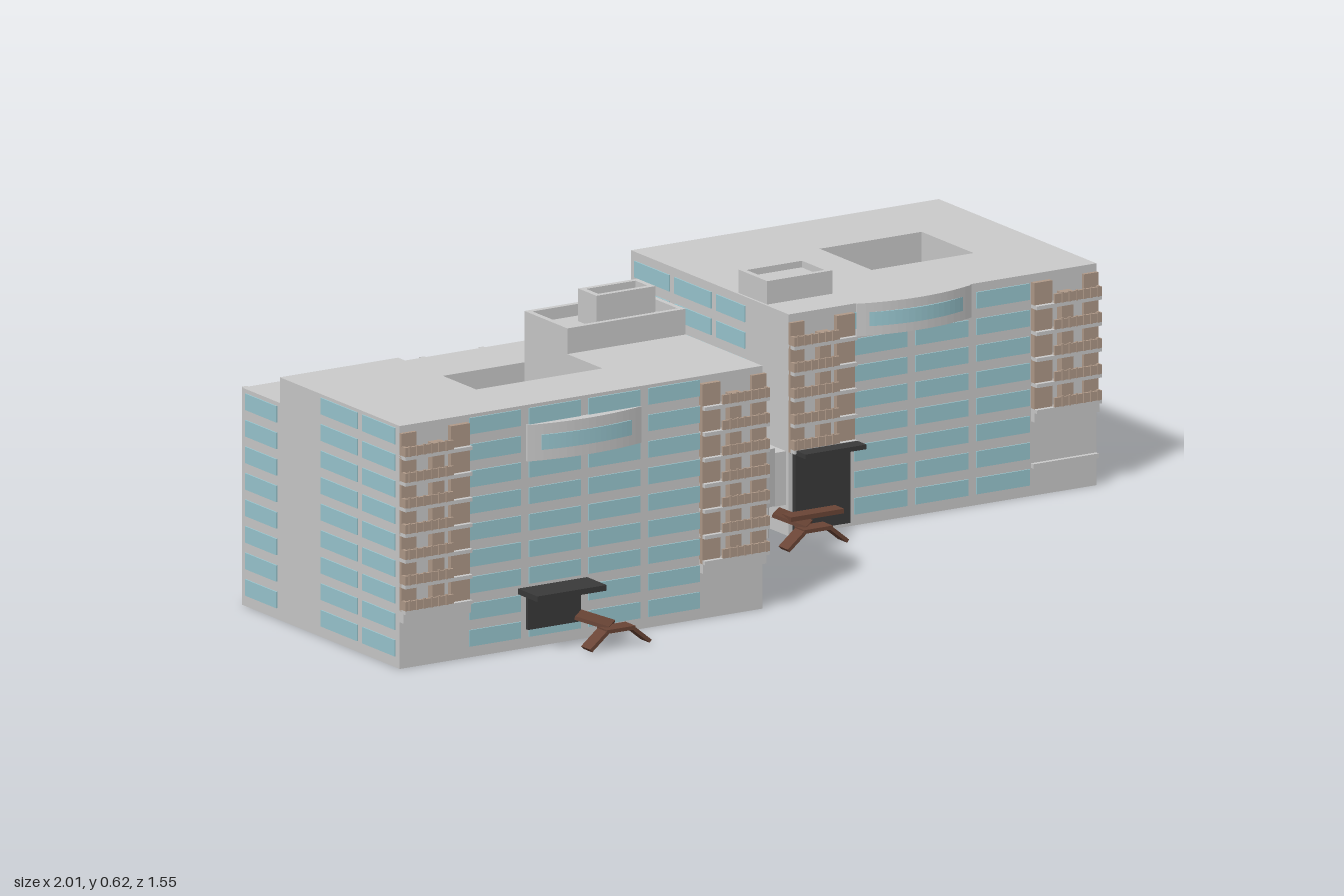
import * as THREE from 'three';
import { mergeGeometries } from 'three/addons/utils/BufferGeometryUtils.js';

const mat = (color) => new THREE.MeshStandardMaterial({ color, side: THREE.DoubleSide });
const GREY = mat(0xcccccc), GLASS = mat(0x9ac8d1), BROWN = mat(0xb09a89);
const DARK = mat(0x3a3a3a), STEP = mat(0x6b4536), SMOKE = mat(0x5c5c5c);

export function createModel() {
  const model = new THREE.Group();
  const add = (parent, name, geo, material) => {
    const m = new THREE.Mesh(geo, material);
    m.name = name;
    parent.add(m);
    return m;
  };
  const group = (name) => {
    const g = new THREE.Group();
    g.name = name;
    model.add(g);
    return g;
  };

  // Boxes given by their limits [x0, x1, y0, y1, z0, z1], joined into one mesh
  const boxes = (parent, name, material, list) => add(parent, name, mergeGeometries(list.map(([a, b, c, d, e, f]) =>
    new THREE.BoxGeometry(b - a, d - c, f - e).translate((a + b) / 2, (c + d) / 2, (e + f) / 2))), material);

  // Plan outline in (x, z) raised from y0 to y1, with optional holes
  const rect = (x0, x1, z0, z1) => [[x0, z1], [x1, z1], [x1, z0], [x0, z0]];
  const prism = (parent, name, outline, y0, y1, holes = [], material = GREY) => {
    const pts = (o) => o.map(([x, z]) => new THREE.Vector2(x, -z));
    const shape = new THREE.Shape(pts(outline));
    holes.forEach((h) => shape.holes.push(new THREE.Path(pts(h))));
    const geo = new THREE.ExtrudeGeometry(shape, { depth: y1 - y0, bevelEnabled: false });
    return add(parent, name, geo.rotateX(-Math.PI / 2).translate(0, y0, 0), material);
  };

  // Flat-roofed block with a raised rim
  const rimmedBlock = (parent, name, x0, x1, z0, z1, y0, y1, rim = 0.012, drop = 0.025) => {
    boxes(parent, name, GREY, [[x0, x1, y0, y1 - drop, z0, z1]]);
    prism(parent, name + 'Parapet', rect(x0, x1, z0, z1), y1 - drop, y1,
      [rect(x0 + rim, x1 - rim, z0 + rim, z1 - rim)]);
  };

  // Outline bowed toward +z
  const bowed = (x0, x1, zBack, zFront, sag) => {
    const pts = [[x1, zBack], [x0, zBack]];
    for (let i = 0; i <= 16; i++) {
      const t = i / 16;
      pts.push([x0 + (x1 - x0) * t, zFront + sag * 4 * t * (1 - t)]);
    }
    return pts;
  };

  // Window grid on a wall: axis is the wall normal, cols are spans along the wall
  const windows = (parent, name, axis, at, cols, rows, h = 0.035, material = GLASS) => {
    const list = [];
    for (const [a, b] of cols) for (const y of rows) {
      const c = y - h / 2, d = y + h / 2, p = at - 0.003, q = at + 0.003;
      list.push(axis === 'z' ? [a, b, c, d, p, q] : [p, q, c, d, a, b]);
    }
    return boxes(parent, name, material, list);
  };
  const floors = (n) => Array.from({ length: n }, (_, i) => 0.041 + i * 0.0568);
  const bays = (a, b, n, gap = 0.02) => Array.from({ length: n }, (_, i) => {
    const w = (b - a) / n;
    return [a + i * w + gap / 2, a + (i + 1) * w - gap / 2];
  });

  // Stack of corner balconies: slabs, slatted railings and screen columns
  const balconies = (parent, x0, x1, zWall, y0, y1, n, outer) => {
    const z1 = zWall + 0.022, pitch = (y1 - y0) / n, w = x1 - x0;
    const slabs = [], rails = [], X = (t) => (outer < 0 ? x0 + t * w : x1 - t * w);
    const span = (s, t) => [Math.min(X(s), X(t)), Math.max(X(s), X(t))];
    for (let i = 0; i < n; i++) {
      const y = y0 + i * pitch;
      slabs.push([x0, x1, y, y + 0.008, zWall, z1]);
      rails.push([...span(0.02, 0.72), y + 0.008, y + pitch * 0.5, z1 - 0.006, z1]);
      rails.push([...span(0, 0.04), y + 0.008, y + pitch * 0.5, zWall, z1]);
      for (let k = 0; k < 6; k++) {
        const [a] = span(0.06 + k * 0.11, 0.06 + k * 0.11);
        rails.push([a - 0.002, a + 0.002, y + 0.008, y + pitch * 0.55, z1 - 0.002, z1 + 0.003]);
      }
    }
    boxes(parent, 'balconySlabs', GREY, slabs);
    boxes(parent, 'balconyRailings', BROWN, rails);
    boxes(parent, 'balconyScreens', BROWN, [
      [...span(0.0, 0.22), y0, y1, zWall, zWall + 0.008],
      [...span(0.42, 0.6), y0, y1 - pitch * 0.5, zWall, z1 - 0.004],
      [...span(0.72, 1), y0, y1, zWall, zWall + 0.012],
    ]);
  };

  // Flight of steps between two points, as a sloping slab
  const flight = (parent, name, from, to, width) => {
    const a = new THREE.Vector3(...from), b = new THREE.Vector3(...to);
    const m = add(parent, name, new THREE.BoxGeometry(width, 0.008, a.distanceTo(b)), STEP);
    m.position.copy(a).add(b).multiplyScalar(0.5);
    m.lookAt(b);
  };

  // ---- Taller wing ----
  const west = group('westWing');
  prism(west, 'mainBlock', [[-1, 0.66], [-0.11, 0.66], [-0.11, 0.2], [-0.4, 0.2], [-0.4, 0.5],
    [-0.71, 0.5], [-0.71, 0.2], [-1, 0.2]], 0, 0.52);
  boxes(west, 'rearBlock', GREY, [[-1, -0.11, 0, 0.465, 0.055, 0.2]]);
  boxes(west, 'courtyardFloor', GREY, [[-0.71, -0.4, 0, 0.06, 0.2, 0.5]]);
  rimmedBlock(west, 'stairTower', -0.4, -0.11, 0.2, 0.365, 0.5, 0.575);
  rimmedBlock(west, 'roofPlant', -0.3, -0.155, 0.25, 0.32, 0.55, 0.62);
  const f9 = floors(9), f8 = floors(8);
  windows(west, 'frontWindows', 'z', 0.66, bays(-0.84, -0.255, 4), f9);
  windows(west, 'rightWindows', 'x', -0.11, [[0.525, 0.645]], f9);
  windows(west, 'rightRearWindows', 'x', -0.11, [[0.37, 0.505]], f9.slice(1));
  windows(west, 'rearSideWindows', 'x', -0.11, [[0.07, 0.185]], f8.slice(3));
  windows(west, 'garageDoor', 'x', -0.11, [[0.365, 0.505]], [0.035], 0.05, DARK);
  windows(west, 'leftWindows', 'x', -1, [[0.07, 0.19], [0.36, 0.5], [0.52, 0.645]], f8);
  windows(west, 'leftTopWindows', 'x', -1, [[0.36, 0.5], [0.52, 0.645]], [f9[8]]);
  windows(west, 'backWindows', 'z', 0.055, bays(-0.99, -0.12, 6), f8);
  boxes(west, 'backPilasters', GREY, Array.from({ length: 7 }, (_, i) => {
    const x = -0.99 + i * 0.145;
    return [x - 0.006, x + 0.006, 0, 0.465, 0.048, 0.055];
  }));
  prism(west, 'bowedPanel', bowed(-0.69, -0.41, 0.655, 0.665, 0.018), 0.4, 0.478);
  prism(west, 'bowedWindow', bowed(-0.66, -0.44, 0.66, 0.675, 0.011), 0.423, 0.455, [], GLASS);
  balconies(west, -1, -0.835, 0.66, 0.12, 0.505, 7, -1);
  balconies(west, -0.265, -0.105, 0.66, 0.12, 0.505, 7, 1);
  boxes(west, 'baseLedges', GREY, [[-1, -0.835, 0.1, 0.12, 0.66, 0.675], [-0.265, -0.11, 0.1, 0.12, 0.66, 0.675]]);
  boxes(west, 'entrance', DARK, [[-0.69, -0.56, 0.04, 0.12, 0.655, 0.668], [-0.71, -0.54, 0.118, 0.13, 0.66, 0.735]]);

  // ---- Shorter wing ----
  const east = group('eastWing');
  prism(east, 'mainBlock', rect(0.245, 1, -0.4, 0.205), 0, 0.475, [rect(0.58, 0.83, -0.2, 0)]);
  boxes(east, 'courtyardFloor', GREY, [[0.58, 0.83, 0, 0.06, -0.2, 0]]);
  rimmedBlock(east, 'stairTower', 0.25, 0.41, 0.005, 0.115, 0.45, 0.525);
  boxes(east, 'roofPlant', GREY, [[0.265, 0.395, 0.49, 0.512, 0.02, 0.085]]);
  windows(east, 'frontWindows', 'z', 0.205, bays(0.395, 0.845, 3), f8);
  windows(east, 'rightWindows', 'x', 1, [[0.07, 0.195], [-0.09, 0.055], [-0.385, -0.25]], f8);
  windows(east, 'backWindows', 'z', -0.4, bays(0.25, 0.995, 5), f8.slice(2));
  windows(east, 'leftWindows', 'x', 0.245, [[-0.385, -0.25], [-0.23, -0.09], [-0.07, 0.04]], f8);
  prism(east, 'bowedPanel', bowed(0.41, 0.69, 0.2, 0.21, 0.024), 0.405, 0.475);
  prism(east, 'bowedWindow', bowed(0.43, 0.67, 0.2, 0.216, 0.022), 0.425, 0.455, [], GLASS);
  balconies(east, 0.245, 0.4, 0.205, 0.18, 0.458, 5, -1);
  balconies(east, 0.84, 1, 0.205, 0.18, 0.458, 5, 1);
  boxes(east, 'baseLedges', GREY, [[0.84, 1, 0.06, 0.07, 0.205, 0.215], [0.84, 1, 0.16, 0.18, 0.205, 0.218]]);
  boxes(east, 'entrance', DARK, [[0.255, 0.39, 0.01, 0.18, 0.2, 0.215], [0.25, 0.4, 0.177, 0.187, 0.205, 0.262]]);

  // ---- Low annex ----
  const annex = group('annex');
  rimmedBlock(annex, 'annexBlock', 0.25, 1, -0.78, -0.44, 0, 0.145, 0.01, 0.015);
  boxes(annex, 'annexLinks', GREY, [[0.25, 0.41, 0.06, 0.11, -0.44, -0.4], [0.69, 0.855, 0.06, 0.11, -0.44, -0.4]]);
  for (const x of [0.25, 1]) windows(annex, 'sideWindows', 'x', x, bays(-0.778, -0.44, 4, 0.012), [0.1, 0.041]);
  windows(annex, 'backWindows', 'z', -0.78, bays(0.4, 0.85, 3), [0.1, 0.041]);

  // ---- Link building on posts ----
  const link = group('linkBuilding');
  boxes(link, 'linkRearBlock', GREY, [[-0.065, 0.212, 0, 0.212, -0.25, 0.045]]);
  prism(link, 'linkFront', bowed(-0.065, 0.215, 0.045, 0.2, 0.015), 0.068, 0.178);
  prism(link, 'linkParapet', bowed(-0.065, 0.215, 0.045, 0.2, 0.015), 0.178, 0.192,
    [bowed(-0.055, 0.205, 0.055, 0.19, 0.015)]);
  boxes(link, 'linkPassages', GREY, [[-0.11, -0.065, 0.065, 0.18, 0.05, 0.195], [0.215, 0.245, 0.065, 0.18, 0.05, 0.195]]);
  for (const y of [0.098, 0.155])
    prism(link, 'linkWindow', bowed(-0.02, 0.17, 0.19, 0.206, 0.011), y - 0.019, y + 0.019, [], SMOKE);
  for (const x of [-0.055, 0.08, 0.2])
    add(link, 'post', new THREE.CylinderGeometry(0.006, 0.006, 0.07, 10), GREY).position.set(x, 0.035, 0.19);

  // ---- Entrance steps: one flight down to a landing, then two side flights ----
  const steps = (name, x, z, yTop) => {
    const g = group(name);
    flight(g, 'upperFlight', [x - 0.05, yTop, z - 0.07], [x, 0.042, z - 0.018], 0.055);
    boxes(g, 'landing', STEP, [[x - 0.035, x + 0.035, 0.036, 0.044, z - 0.02, z + 0.018]]);
    for (const s of [-1, 1]) flight(g, 'sideFlight', [x + s * 0.03, 0.04, z], [x + s * 0.073, 0.005, z], 0.035);
  };
  steps('westSteps', -0.527, 0.752, 0.06);
  steps('eastSteps', 0.245, 0.302, 0.065);
  const east2 = model.getObjectByName('eastSteps');
  boxes(east2, 'entranceLanding', STEP, [[0.2, 0.33, 0.055, 0.065, 0.25, 0.285]]);
  return model;
}
